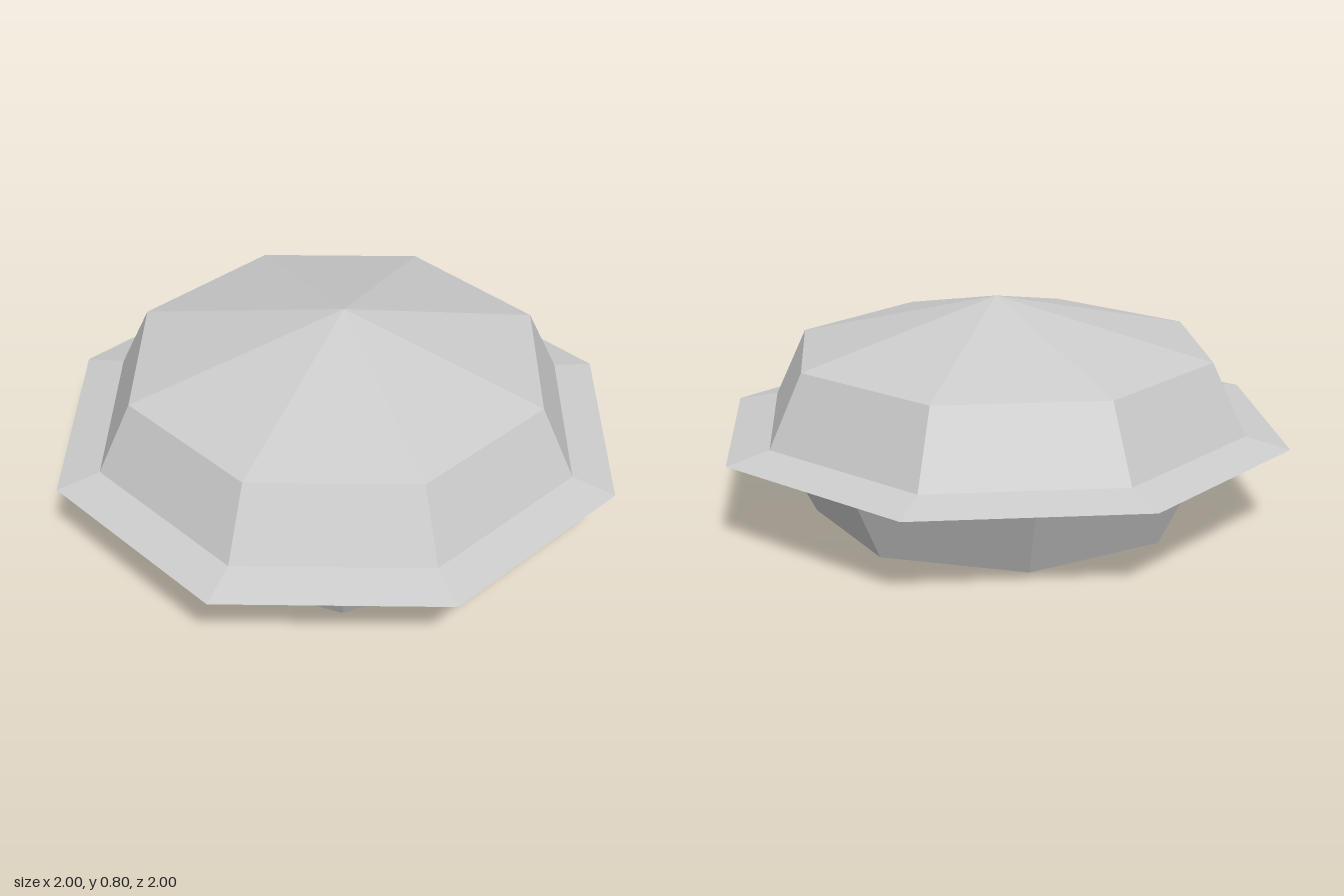
import * as THREE from 'three';

const SIDES = 8;
const TURN = THREE.MathUtils.degToRad(20); // twist of the upper parts against the base

function addPart(group, name, geometry) {
  const flat = geometry.index ? geometry.toNonIndexed() : geometry;
  flat.computeVertexNormals();
  const mesh = new THREE.Mesh(flat, new THREE.MeshStandardMaterial({ color: 0xcccccc, flatShading: true }));
  mesh.name = name;
  group.add(mesh);
}

// Faceted octagonal shell; profile runs as [radius, y] pairs
function octagon(profile, angle) {
  return new THREE.LatheGeometry(profile.map(([r, y]) => new THREE.Vector2(r, y)), SIDES, angle);
}

export function createModel() {
  const group = new THREE.Group();
  group.name = 'facetedDome';

  // Tapered base and its flat floor
  addPart(group, 'base', octagon([[0.69, 0], [0.85, 0.31]], 0));
  const floor = new THREE.CircleGeometry(0.69, SIDES);
  floor.rotateX(Math.PI / 2);
  addPart(group, 'baseFloor', floor);

  // Thin sloping rim with a flat underside
  addPart(group, 'rim', octagon([[0.7, 0.31], [1.064, 0.31], [0.905, 0.345]], TURN));

  // Slanted wall above the rim
  addPart(group, 'wall', octagon([[0.905, 0.345], [0.78, 0.605]], TURN));

  // Shallow roof, its apex slightly behind the centre
  const roof = new THREE.ConeGeometry(0.78, 0.195, SIDES, 1, true, TURN);
  roof.translate(0, 0.7025, 0);
  const p = roof.attributes.position;
  for (let i = 0; i < p.count; i++) {
    if (p.getY(i) > 0.79) p.setZ(i, -0.035);
  }
  addPart(group, 'roof', roof);

  return group;
}
